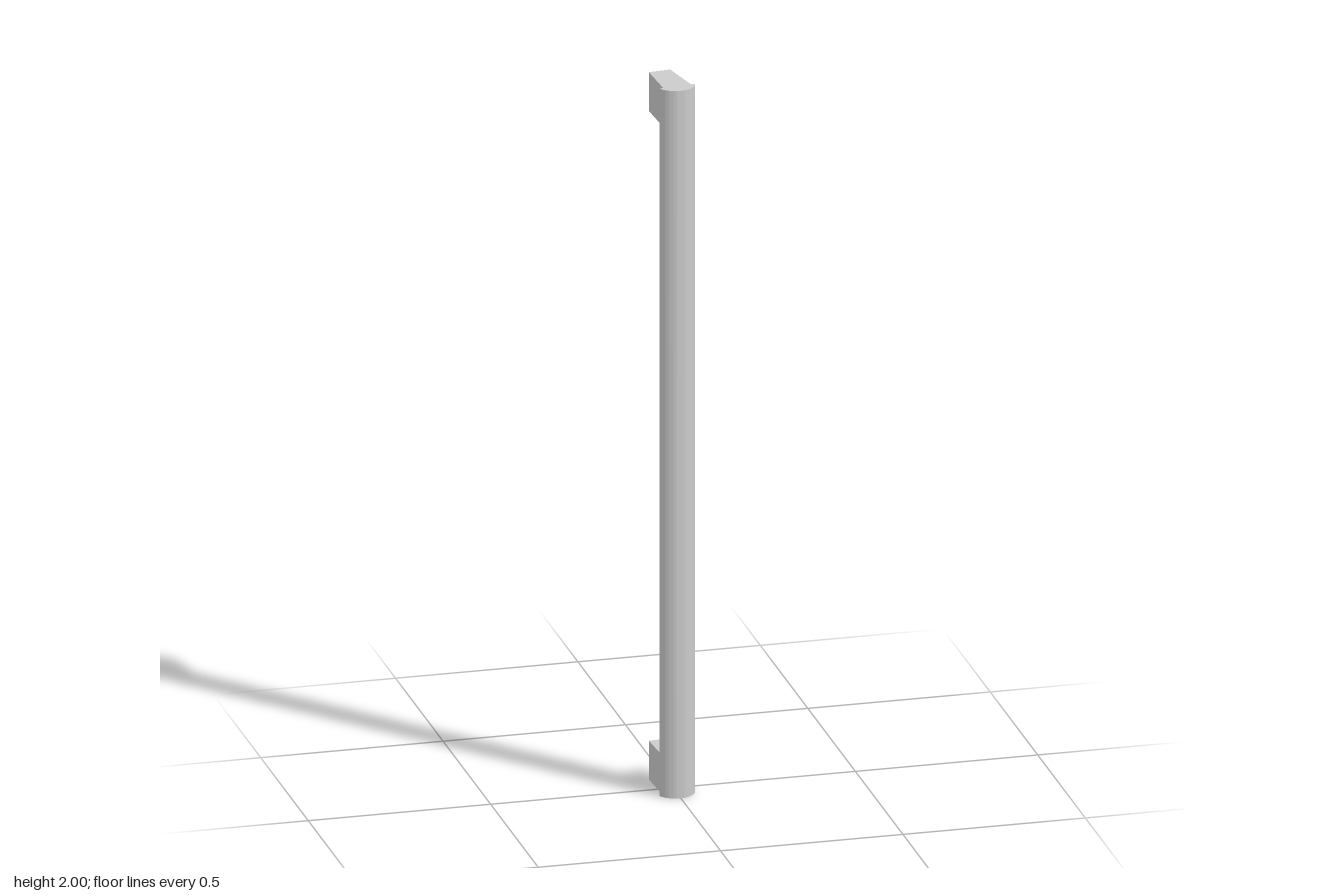
import * as THREE from 'three';
import { toCreasedNormals } from 'three/addons/utils/BufferGeometryUtils.js';

const HEIGHT = 2, BRACKET_HEIGHT = 0.11;

// Half-round bar: a circular segment, slightly turned, extruded upwards
function barGeometry() {
  const shape = new THREE.Shape();
  const start = THREE.MathUtils.degToRad(-156), end = THREE.MathUtils.degToRad(-11);
  shape.absarc(-0.002, -0.03, 0.053, start, end, false);
  shape.closePath();
  const geo = new THREE.ExtrudeGeometry(shape, { depth: HEIGHT, bevelEnabled: false, curveSegments: 16 });
  geo.rotateX(-Math.PI / 2);
  return toCreasedNormals(geo, Math.PI / 6);
}

// Thin four-walled sleeve, open at the back, closed at the front by the bar
function bracketGeometry() {
  const h = BRACKET_HEIGHT;
  const rim = [[-0.046, 0, -0.077], [0.014, 0, -0.083], [0.014, h, -0.083], [-0.046, h, -0.077]];
  const root = [[-0.04, 0, 0.0504], [0.0385, 0, 0.0414], [0.0385, h, 0.0414], [-0.04, h, 0.0504]];
  const positions = [];
  for (let i = 0; i < 4; i++) {
    const j = (i + 1) % 4;
    positions.push(...rim[i], ...rim[j], ...root[j], ...rim[i], ...root[j], ...root[i]);
  }
  const geo = new THREE.BufferGeometry();
  geo.setAttribute('position', new THREE.Float32BufferAttribute(positions, 3));
  geo.computeVertexNormals();
  return geo;
}

export function createModel() {
  const group = new THREE.Group();
  group.name = 'pullHandle';

  const bar = new THREE.Mesh(barGeometry(), new THREE.MeshStandardMaterial({ color: 0xcccccc }));
  bar.name = 'gripBar';
  group.add(bar);

  // Matching brackets flush with both ends of the bar
  const sleeve = bracketGeometry();
  const sheet = new THREE.MeshStandardMaterial({ color: 0xcccccc, side: THREE.DoubleSide });
  for (const [name, y] of [['lowerBracket', 0], ['upperBracket', HEIGHT - BRACKET_HEIGHT]]) {
    const bracket = new THREE.Mesh(sleeve, sheet);
    bracket.name = name;
    bracket.position.y = y;
    group.add(bracket);
  }
  return group;
}
